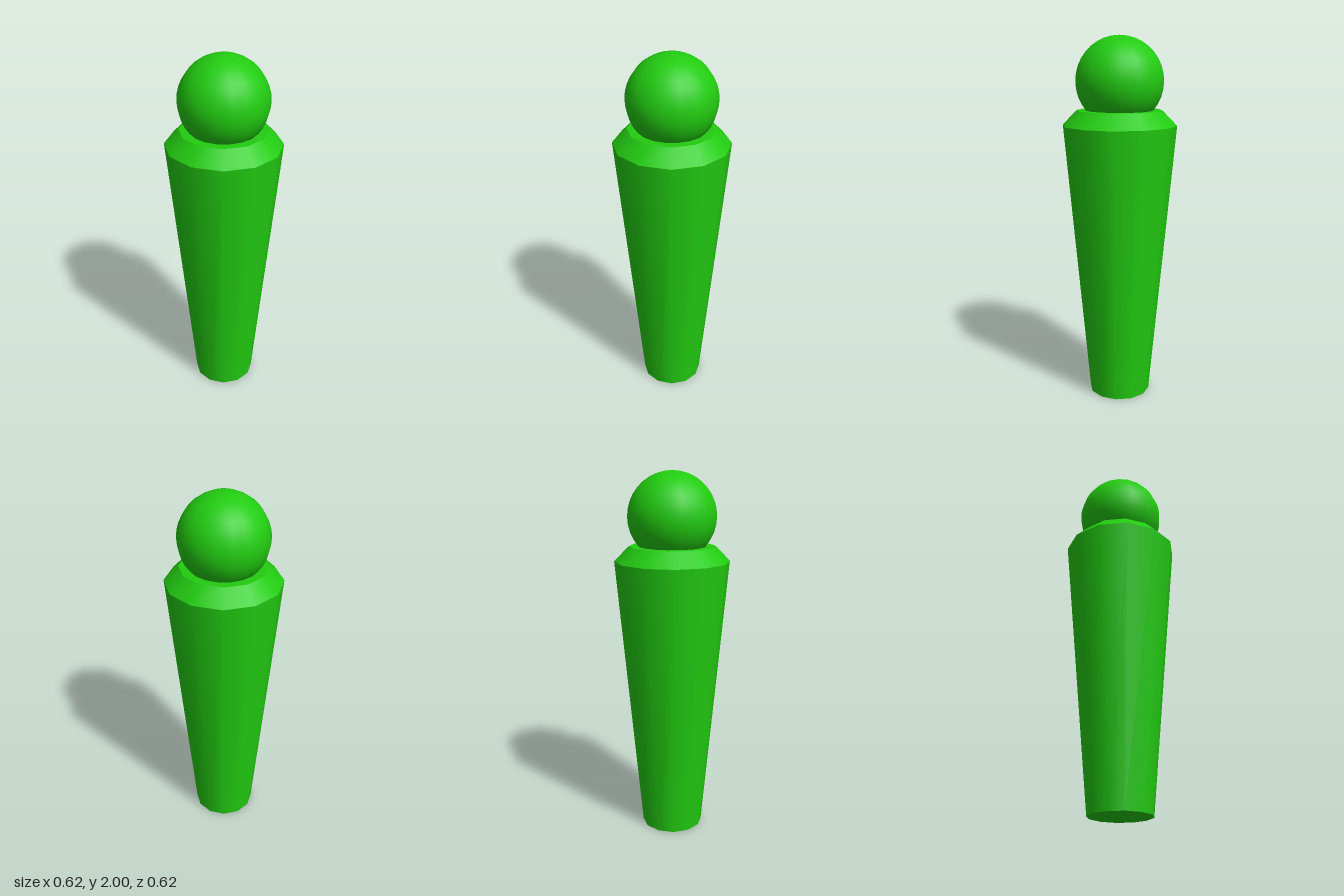
import * as THREE from 'three';

const SIDES = 12;

export function createModel() {
  const model = new THREE.Group();
  model.name = 'pegFigure';
  const green = new THREE.MeshStandardMaterial({ color: 0x22cc11 });

  const add = (name, geometry, y) => {
    const mesh = new THREE.Mesh(geometry, green);
    mesh.name = name;
    mesh.position.y = y;
    model.add(mesh);
  };

  // Tapered body, open at the top where the shoulder begins
  const body = new THREE.CylinderGeometry(0.31, 0.17, 1.53, SIDES, 1, true);
  add('body', body, 1.53 / 2);

  // Flat underside
  const base = new THREE.CircleGeometry(0.17, SIDES).rotateX(Math.PI / 2);
  add('base', base, 0);

  // Bevelled shoulder and its flat top
  const shoulder = new THREE.CylinderGeometry(0.232, 0.31, 0.08, SIDES, 1, true);
  add('shoulder', shoulder, 1.57);
  const shoulderTop = new THREE.CircleGeometry(0.232, SIDES).rotateX(-Math.PI / 2);
  add('shoulderTop', shoulderTop, 1.61);

  // Round head sunk slightly into the shoulder
  const head = new THREE.SphereGeometry(0.237, 18, 18, Math.PI / 2);
  add('head', head, 2 - 0.237);

  return model;
}
